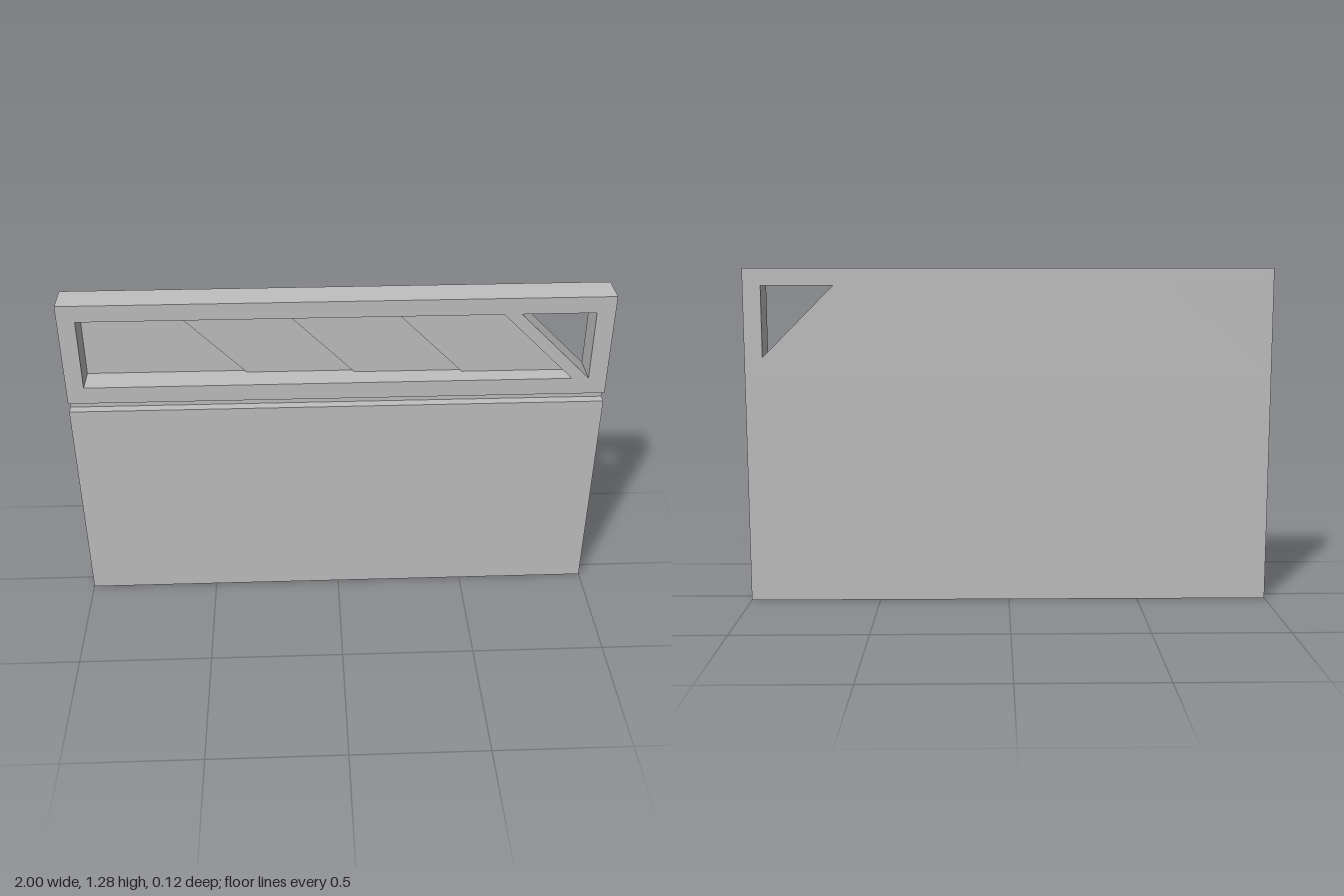
import * as THREE from 'three';

const HALF_DEPTH = 0.06;
const DEPTH = 2 * HALF_DEPTH;
const TOP = 1.28;
const GROOVE = { bottom: 0.843, top: 0.879, depth: 0.035 };
const RECESS = { left: -0.935, bottom: 0.945, top: 1.216 };
const SLANT = RECESS.top - RECESS.bottom; // 45 degree cuts
const CUTS = [-0.61, -0.2075, 0.196, 0.598]; // top ends of the slanted edges
const PANEL_DEPTHS = [0.107, 0.094, 0.081, 0.068]; // stepping forward to the right

const toPoints = (list) => list.map(([x, y]) => new THREE.Vector2(x, y));

// Extrude an outline in x, y from the back plane forward
function slab(outline, depth, holes = []) {
  const shape = new THREE.Shape(toPoints(outline));
  for (const hole of holes) shape.holes.push(new THREE.Path(toPoints(hole)));
  const geometry = new THREE.ExtrudeGeometry(shape, { depth, bevelEnabled: false });
  return geometry.translate(0, 0, -HALF_DEPTH);
}

export function createModel() {
  const group = new THREE.Group();
  const grey = new THREE.MeshStandardMaterial({ color: 0xc0c0c0 });
  grey.name = 'light grey';

  const add = (name, geometry) => {
    const mesh = new THREE.Mesh(geometry, grey);
    mesh.name = name;
    group.add(mesh);
  };

  // Lower board with the back of the groove, a side profile swept along x
  const profile = new THREE.Shape(toPoints([
    [-HALF_DEPTH, 0],
    [HALF_DEPTH, 0],
    [HALF_DEPTH, GROOVE.top],
    [-HALF_DEPTH + GROOVE.depth, GROOVE.top],
    [-HALF_DEPTH + GROOVE.depth, GROOVE.bottom],
    [-HALF_DEPTH, GROOVE.bottom],
  ]));
  const board = new THREE.ExtrudeGeometry(profile, { depth: 2, bevelEnabled: false });
  board.translate(0, 0, -1).rotateY(Math.PI / 2); // profile x becomes -z
  add('lowerBoard', board);

  // Upper frame with the slanted recess and the triangular through hole
  const lastCut = CUTS[CUTS.length - 1];
  const recess = [
    [RECESS.left, RECESS.bottom],
    [lastCut + SLANT, RECESS.bottom],
    [lastCut, RECESS.top],
    [RECESS.left, RECESS.top],
  ];
  const triangle = [
    [0.932, RECESS.bottom],
    [0.932, RECESS.top],
    [0.932 - SLANT, RECESS.top],
  ];
  add('upperFrame', slab(
    [[-1, GROOVE.top], [1, GROOVE.top], [1, TOP], [-1, TOP]],
    DEPTH,
    [recess, triangle],
  ));

  // Stepped panels on the floor of the recess
  PANEL_DEPTHS.forEach((sunk, i) => {
    const topLeft = i ? CUTS[i - 1] : RECESS.left;
    const bottomLeft = i ? topLeft + SLANT : RECESS.left;
    add(`recessPanel${i + 1}`, slab([
      [bottomLeft, RECESS.bottom],
      [CUTS[i] + SLANT, RECESS.bottom],
      [CUTS[i], RECESS.top],
      [topLeft, RECESS.top],
    ], DEPTH - sunk));
  });

  return group;
}
